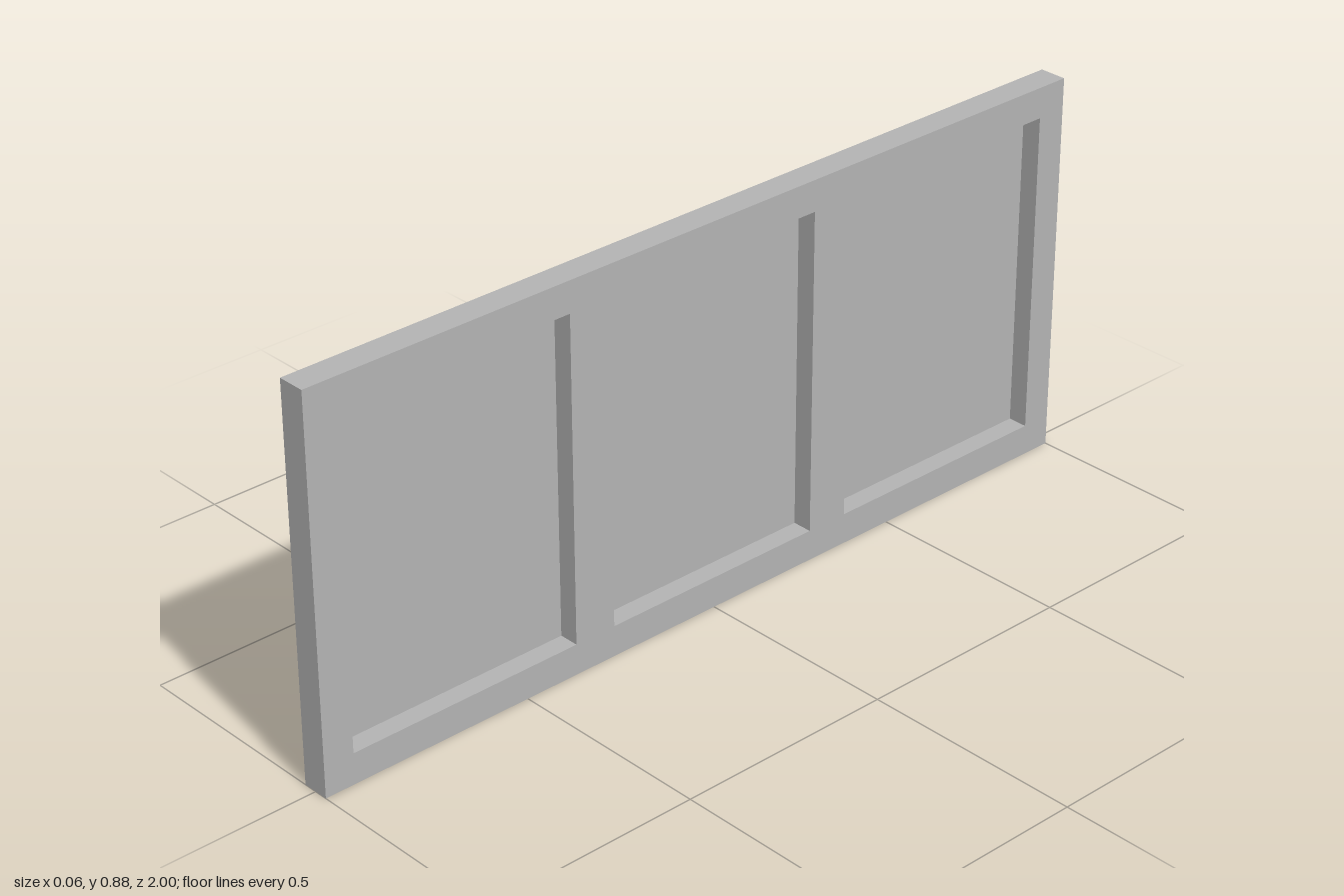
import * as THREE from 'three';
import { mergeGeometries } from 'three/addons/utils/BufferGeometryUtils.js';

const LENGTH = 2, HEIGHT = 0.875, DEPTH = 0.0625;
const PAN_DEPTH = 0.0455, PAN_BOTTOM = 0.07, PAN_TOP = 0.805;
// Start and end of each recessed pan along the panel
const PANS = [[-0.93, -0.372], [-0.272, 0.272], [0.372, 0.93]];

// Four thin walls around a rectangle, running from depth z0 to z1;
// side = 1 faces them outward, -1 faces them inward
function ringWalls(x0, x1, y0, y1, z0, z1, side) {
  const w = x1 - x0, h = y1 - y0, d = z1 - z0;
  const walls = [];
  for (const s of [-1, 1]) {
    walls.push(new THREE.PlaneGeometry(w, d)
      .rotateX(-s * side * Math.PI / 2).translate(0, s * h / 2, 0));
    walls.push(new THREE.PlaneGeometry(d, h)
      .rotateY(s * side * Math.PI / 2).translate(s * w / 2, 0, 0));
  }
  return mergeGeometries(walls).translate((x0 + x1) / 2, (y0 + y1) / 2, (z0 + z1) / 2);
}

function rectangle(target, x0, x1, y0, y1) {
  target.moveTo(x0, y0);
  target.lineTo(x1, y0);
  target.lineTo(x1, y1);
  target.lineTo(x0, y1);
  target.closePath();
  return target;
}

export function createModel() {
  const model = new THREE.Group();
  model.name = 'recessedPanel';
  const grey = new THREE.MeshStandardMaterial({ color: 0xb3b3b3, side: THREE.DoubleSide });
  grey.name = 'plain grey';

  // Parts are laid out in the XY plane, then turned to face +x
  const add = (name, geometry) => {
    const mesh = new THREE.Mesh(geometry.rotateY(Math.PI / 2), grey);
    mesh.name = name;
    model.add(mesh);
  };
  const front = DEPTH / 2;

  // Face sheet with three openings
  const sheet = rectangle(new THREE.Shape(), -LENGTH / 2, LENGTH / 2, 0, HEIGHT);
  for (const [a, b] of PANS) {
    sheet.holes.push(rectangle(new THREE.Path(), a, b, PAN_BOTTOM, PAN_TOP));
  }
  add('faceFrame', new THREE.ShapeGeometry(sheet).translate(0, 0, front));

  // Outer rim, open at the back
  add('outerRim', ringWalls(-LENGTH / 2, LENGTH / 2, 0, HEIGHT, -front, front, 1));

  // Recessed pans: side walls and floor
  PANS.forEach(([a, b], i) => {
    const floorDepth = front - PAN_DEPTH;
    add(`panWalls${i + 1}`, ringWalls(a, b, PAN_BOTTOM, PAN_TOP, floorDepth, front, -1));
    add(`panFloor${i + 1}`, new THREE.PlaneGeometry(b - a, PAN_TOP - PAN_BOTTOM)
      .translate((a + b) / 2, (PAN_BOTTOM + PAN_TOP) / 2, floorDepth));
  });

  return model;
}
